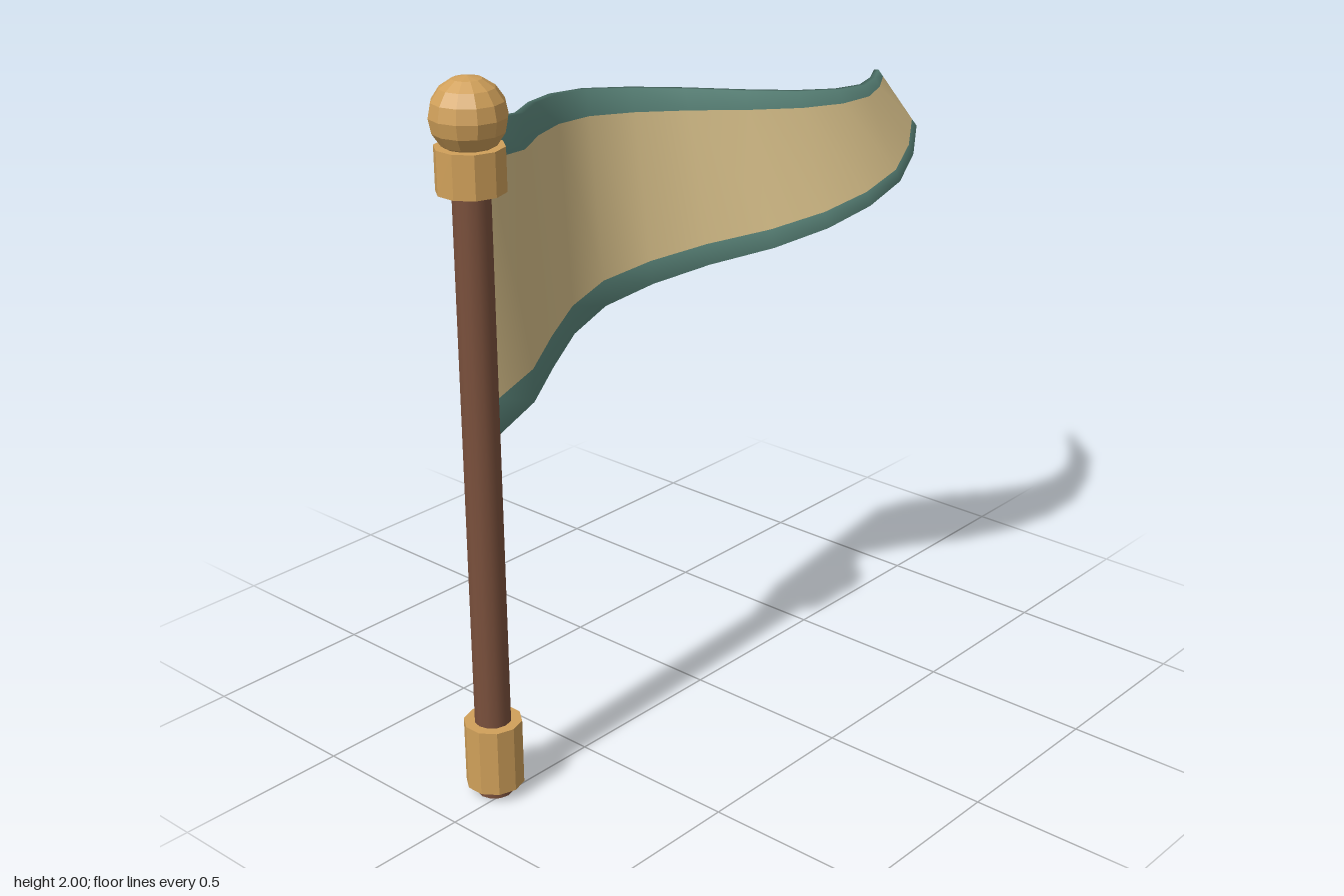
import * as THREE from 'three';

const POLE_X = -0.815, POLE_Z = -0.035;

function material(name, color, flat = false) {
  const m = new THREE.MeshStandardMaterial({ color });
  m.name = name;
  m.flatShading = flat;
  return m;
}

// Waving pennant: a thin closed slab lofted through stations along x
function pennantGeometry() {
  const zTop = [-0.02, -0.045, -0.14, -0.205, -0.225, -0.185, -0.11, -0.015, 0.06, 0.093, 0.077, 0.01, -0.08];
  const zBottom = [-0.02, -0.035, -0.1, -0.155, -0.165, -0.11, -0.02, 0.1, 0.18, 0.22, 0.22, 0.165, 0.075];
  const rows = [0, 0.12, 0.88, 1]; // hem, field, hem
  const n = zTop.length - 1;
  const lerp = THREE.MathUtils.lerp;

  const point = (i, v) => {
    const t = i / n;
    return new THREE.Vector3(
      lerp(-0.775, 0.903 - 0.01 * v, t),
      lerp(lerp(1.885, 1.69, t), lerp(1.055, 1.545, t), v),
      lerp(zTop[i], zBottom[i], v));
  };

  const positions = [];
  for (let i = 0; i <= n; i++) {
    const half = lerp(0.012, 0.007, i / n);
    const ring = (v, side) => {
      const tangent = point(Math.min(i + 1, n), v).sub(point(Math.max(i - 1, 0), v));
      const normal = new THREE.Vector3(-tangent.z, 0, tangent.x).normalize();
      positions.push(...point(i, v).addScaledVector(normal, side * half).toArray());
    };
    rows.forEach(v => ring(v, 1));
    [...rows].reverse().forEach(v => ring(v, -1));
  }

  const field = [], hem = [];
  const quad = (list, a, b, c, d) => list.push(a, b, c, a, c, d);
  for (let i = 0; i < n; i++) {
    for (let j = 0; j < 8; j++) {
      const k = (j + 1) % 8, p = i * 8, q = p + 8;
      quad(j === 1 || j === 5 ? field : hem, p + j, p + k, q + k, q + j);
    }
  }
  // End faces at the pole and at the tip
  for (let j = 0; j < 3; j++) {
    const list = j === 1 ? field : hem, e = n * 8;
    quad(list, e + j, e + j + 1, e + 6 - j, e + 7 - j);
    quad(list, 7 - j, 6 - j, j + 1, j);
  }

  const g = new THREE.BufferGeometry();
  g.setAttribute('position', new THREE.Float32BufferAttribute(positions, 3));
  g.setIndex([...field, ...hem]);
  g.addGroup(0, field.length, 0);
  g.addGroup(field.length, hem.length, 1);
  g.computeVertexNormals();
  return g;
}

export function createModel() {
  const wood = material('brown wood', 0x7a503c);
  const brass = material('brass', 0xd0a05a, true);
  const cream = material('cream cloth', 0xd8c08a);
  const teal = material('teal cloth', 0x5c877c);

  const group = new THREE.Group();
  group.name = 'pennantOnPole';
  const add = (name, geometry, mat, x, y, z) => {
    const mesh = new THREE.Mesh(geometry, mat);
    mesh.name = name;
    mesh.position.set(x, y, z);
    group.add(mesh);
  };
  const rod = (name, r, y0, y1, sides, mat) =>
    add(name, new THREE.CylinderGeometry(r, r, y1 - y0, sides), mat, POLE_X, (y0 + y1) / 2, POLE_Z);

  // Pole with its collars and ball
  rod('pole', 0.05, 0, 1.84, 12, wood);
  rod('lowerCollar', 0.08, 0.03, 0.22, 10, brass);
  rod('upperCollar', 0.09, 1.71, 1.825, 10, brass);
  add('finialBall', new THREE.SphereGeometry(0.1, 12, 8), brass, POLE_X, 1.9, POLE_Z);

  // Flag
  add('pennant', pennantGeometry(), [cream, teal], 0, 0, 0);
  return group;
}
